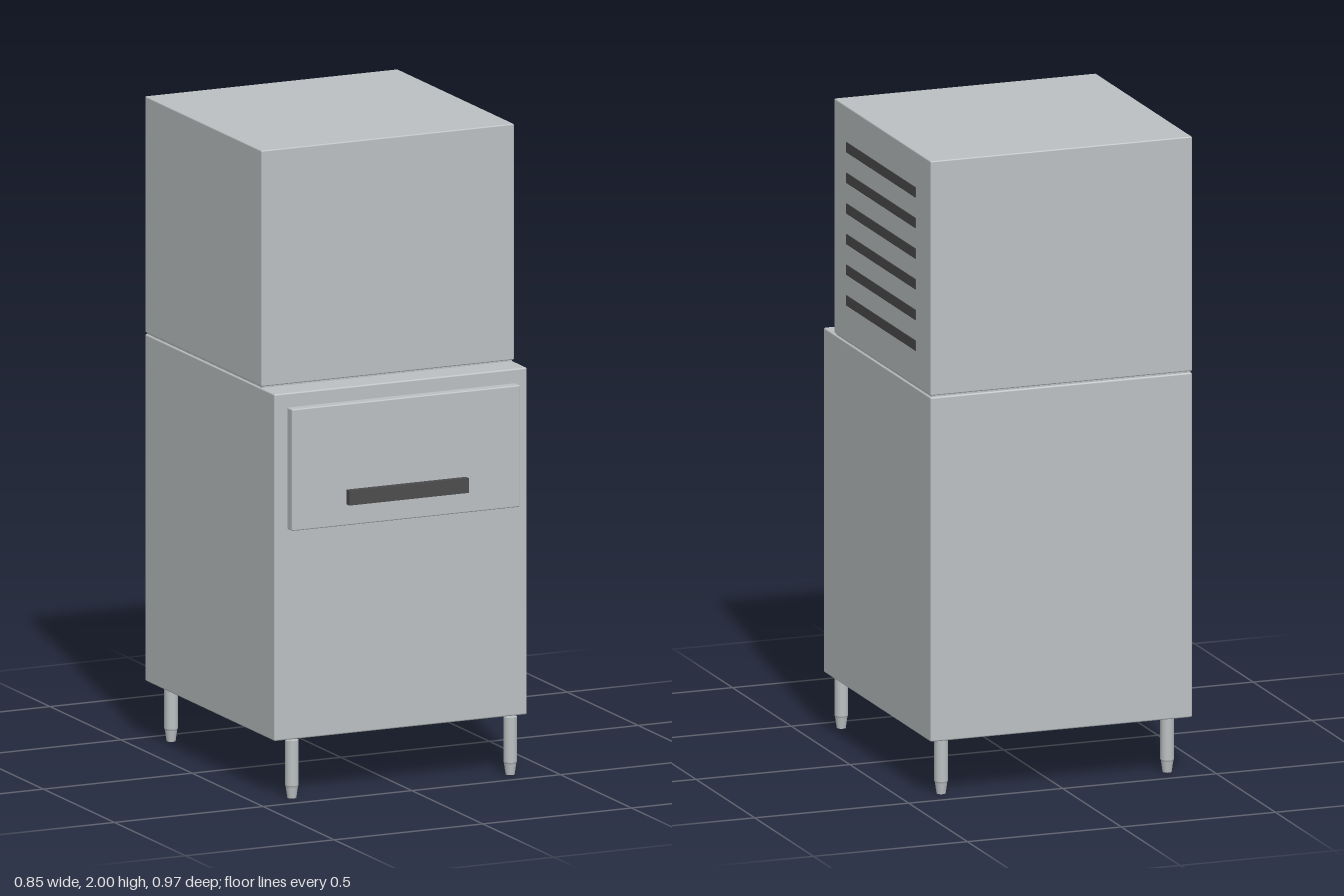
import * as THREE from 'three';
import { RoundedBoxGeometry } from 'three/addons/geometries/RoundedBoxGeometry.js';

export function createModel() {
  const model = new THREE.Group();
  model.name = 'cabinetMachine';

  const steel = new THREE.MeshStandardMaterial({ color: 0xbcc0c2 });
  steel.name = 'brushed steel';
  const dark = new THREE.MeshStandardMaterial({ color: 0x4c4c4e });
  dark.name = 'dark plastic';

  const cx = -0.002; // the vents project on one side, so the cabinet sits slightly off centre

  // Box given by its extents; a radius softens the edges
  function box(name, material, [x0, x1], [y0, y1], [z0, z1], radius = 0) {
    const size = [x1 - x0, y1 - y0, z1 - z0];
    const geometry = radius
      ? new RoundedBoxGeometry(...size, 2, radius)
      : new THREE.BoxGeometry(...size);
    const mesh = new THREE.Mesh(geometry, material);
    mesh.name = name;
    mesh.position.set((x0 + x1) / 2 + cx, (y0 + y1) / 2, (z0 + z1) / 2);
    model.add(mesh);
    return mesh;
  }

  // Stacked cabinets with a narrow seam between them
  box('lowerCabinet', steel, [-0.425, 0.425], [0.18, 1.26], [-0.485, 0.427], 0.005);
  box('upperCabinet', steel, [-0.425, 0.425], [1.265, 2], [-0.485, 0.336], 0.004);
  box('seam', steel, [-0.42, 0.42], [1.25, 1.275], [-0.48, 0.33]);

  // Front door and handle
  box('door', steel, [-0.384, 0.384], [0.838, 1.217], [0.43, 0.465], 0.004);
  box('doorGasket', steel, [-0.378, 0.378], [0.844, 1.211], [0.42, 0.435]);
  box('doorHandle', dark, [-0.201, 0.201], [0.904, 0.95], [0.464, 0.485]);

  // Vent slats on the left side
  for (let i = 0; i < 6; i++) {
    const y = 1.873 - i * 0.096;
    box('ventSlat', dark, [0.421, 0.4275], [y - 0.016, y + 0.016], [-0.362, 0.228]);
  }

  // Round legs with tapered feet
  const legProfile = [[0, 0], [0.014, 0], [0.019, 0.035], [0.021, 0.04], [0.021, 0.18], [0, 0.18]]
    .map(([r, y]) => new THREE.Vector2(r, y));
  // Separate lathe bands keep the rims crisp
  for (const x of [-0.367, 0.367]) {
    for (const z of [-0.422, 0.428]) {
      const leg = new THREE.Group();
      leg.name = 'leg';
      for (let i = 0; i < legProfile.length - 1; i++) {
        const band = new THREE.Mesh(new THREE.LatheGeometry(legProfile.slice(i, i + 2), 20), steel);
        band.name = 'legBand';
        leg.add(band);
      }
      leg.position.set(x + cx, 0, z);
      model.add(leg);
    }
  }

  return model;
}
